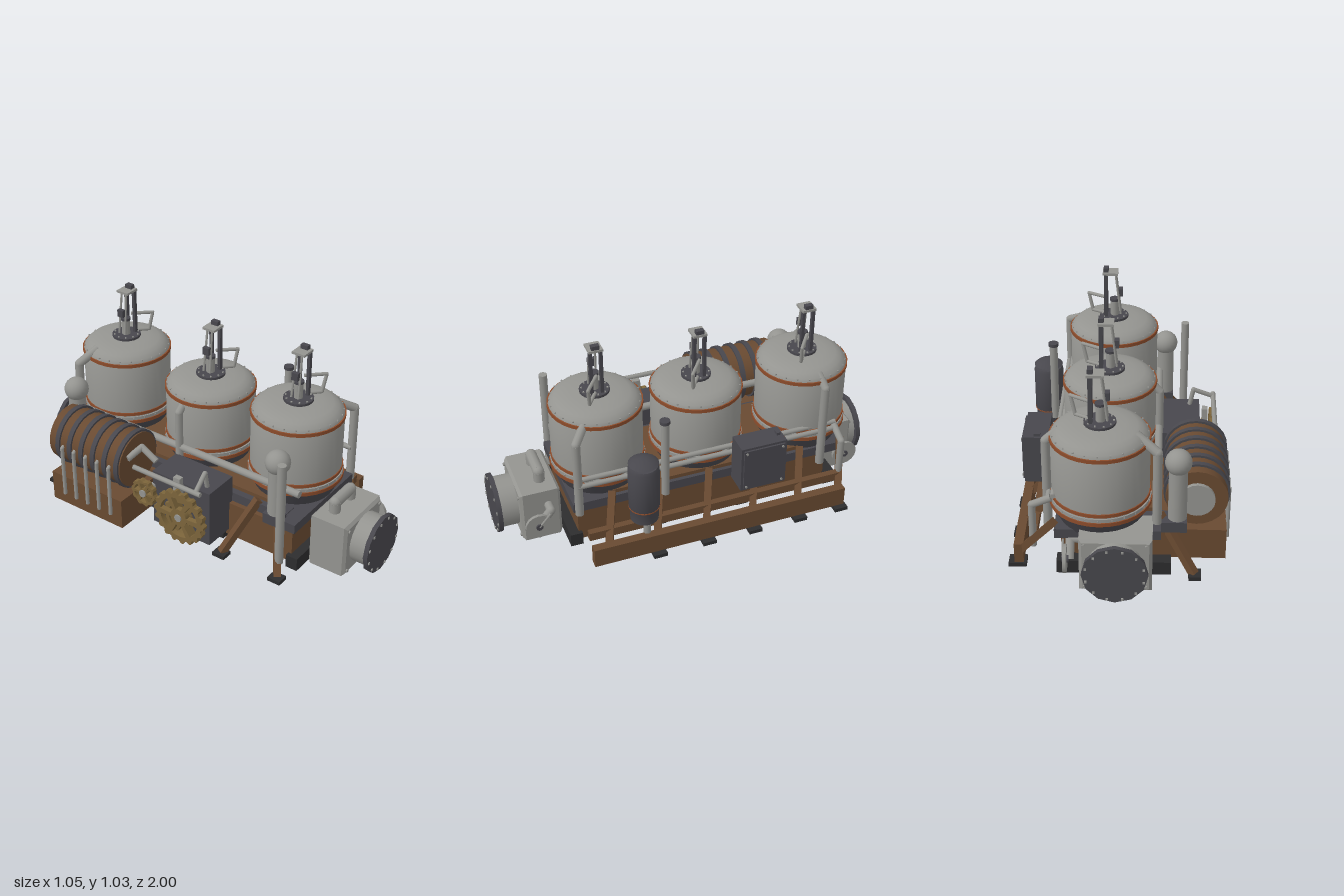
import * as THREE from 'three';
import { toCreasedNormals } from 'three/addons/utils/BufferGeometryUtils.js';

const mat = (name, color) => {
  const m = new THREE.MeshStandardMaterial({ color });
  m.name = name;
  return m;
};

export function createModel() {
  const model = new THREE.Group();
  model.name = 'processingPlant';
  const steel = mat('lightSteel', 0x949490), dark = mat('darkSteel', 0x48474d), black = mat('blackRubber', 0x2d2d2e);
  const brown = mat('brownFrame', 0x694a31), rust = mat('rustBand', 0x8c4c2b), brass = mat('brass', 0x7c653b);
  const V = (x, y, z) => new THREE.Vector3(x, y, z);
  let parent = model;

  const add = (name, geo, m) => {
    const mesh = new THREE.Mesh(geo, m);
    mesh.name = name;
    parent.add(mesh);
    return mesh;
  };
  const inGroup = (name, fn) => {
    const old = parent;
    parent = new THREE.Group();
    parent.name = name;
    old.add(parent);
    fn(parent);
    parent = old;
  };
  const box = (name, m, x0, x1, y0, y1, z0, z1) => {
    const b = add(name, new THREE.BoxGeometry(x1 - x0, y1 - y0, z1 - z0), m);
    b.position.set((x0 + x1) / 2, (y0 + y1) / 2, (z0 + z1) / 2);
    return b;
  };
  // Cylinder between two points
  const rod = (name, m, a, b, r, seg = 10) => {
    const c = add(name, new THREE.CylinderGeometry(r, r, a.distanceTo(b), seg), m);
    c.position.copy(a).add(b).multiplyScalar(0.5);
    c.quaternion.setFromUnitVectors(V(0, 1, 0), b.clone().sub(a).normalize());
    return c;
  };
  // Pipe along corner points with rounded joints
  const pipe = (name, m, pts, r) => inGroup(name, () => {
    for (let i = 1; i < pts.length; i++) {
      rod('pipeRun', m, pts[i - 1], pts[i], r);
      if (i < pts.length - 1) add('elbow', new THREE.SphereGeometry(r, 10, 8), m).position.copy(pts[i]);
    }
  });
  // Square beam between two points
  const beam = (name, m, a, b, w) => {
    const g = add(name, new THREE.BoxGeometry(w, w, a.distanceTo(b)), m);
    g.position.copy(a).add(b).multiplyScalar(0.5);
    g.lookAt(b);
  };
  const lathe = (name, m, pts, seg = 32) => add(name, toCreasedNormals(
    new THREE.LatheGeometry(pts.map(p => new THREE.Vector2(p[0], p[1])), seg), 0.6), m);
  const ring = (name, m, r, y0, y1) => rod(name, m, V(0, y0, 0), V(0, y1, 0), r, 32);
  const bolts = (n, r, y, m) => {
    for (let i = 0; i < n; i++) {
      const a = i / n * Math.PI * 2;
      add('bolt', new THREE.BoxGeometry(0.007, 0.007, 0.007), m).position.set(Math.cos(a) * r, y, Math.sin(a) * r);
    }
  };

  // Agitator drive standing on a tank lid
  const agitator = T => inGroup('agitator', g => {
    g.position.y = T;
    rod('lidFlange', dark, V(0, -0.01, 0), V(0, 0.02, 0), 0.075, 20);
    bolts(10, 0.064, 0.022, steel);
    rod('neck', steel, V(-0.003, 0, 0), V(-0.003, 0.1, 0), 0.022, 12);
    rod('neckCap', dark, V(-0.003, 0.1, 0), V(-0.003, 0.113, 0), 0.026, 12);
    for (const s of [-1, 1]) {
      box('post', dark, 0.033, 0.052, 0.02, 0.26, s * 0.026 - 0.008, s * 0.026 + 0.008);
      rod('linkRod', steel, V(-0.035, 0.03, s * 0.02), V(-0.008, 0.26, s * 0.014), 0.006, 8);
    }
    box('topPlate', steel, -0.022, 0.058, 0.255, 0.267, -0.036, 0.036);
    box('topCap', dark, 0.028, 0.054, 0.267, 0.288, -0.02, 0.02);
    box('counterweight', dark, -0.046, -0.024, 0.13, 0.17, -0.018, 0.018);
    pipe('crankHandle', steel, [V(0.045, 0.118, 0), V(0.137, 0.108, 0.07), V(0.116, 0.015, 0.06), V(0.045, 0.022, 0.01)], 0.009);
  });

  // Three tanks: x, z and lid height
  for (const [x, z, T] of [[0.065, 0.45, 0.742], [0.065, -0.075, 0.71], [0.085, -0.643, 0.742]]) inGroup('tank', g => {
    g.position.set(x, 0, z);
    lathe('lowerCone', dark, [[0, 0.25], [0.19, 0.25], [0.21, 0.29], [0.234, 0.343]]);
    ring('baseRing', rust, 0.242, 0.343, 0.362);
    ring('baseFlange', steel, 0.237, 0.362, 0.38);
    lathe('shell', steel, [[0.23, 0.38], [0.23, T - 0.05], [0.219, T - 0.032], [0.198, T - 0.014], [0.172, T - 0.003], [0.12, T + 0.005], [0, T + 0.012]]);
    ring('lowerBand', rust, 0.235, 0.387, 0.404);
    ring('upperBand', rust, 0.235, T - 0.065, T - 0.047);
    bolts(24, 0.236, 0.371, steel);
    bolts(24, 0.222, T - 0.035, steel);
    agitator(T);
  });

  // Base, deck and skids
  box('baseBody', brown, -0.225, 0.27, 0.02, 0.215, -0.72, 0.625);
  box('deckFrame', dark, -0.2, 0.295, 0.215, 0.265, -0.8, 0.65);
  box('frontCrossBeam', dark, -0.25, 0.295, 0.215, 0.265, 0.58, 0.65);
  box('deckPlate', brown, -0.165, 0.275, 0.265, 0.285, -0.64, 0.44);
  for (const [z, h] of [[0.64, 0.07], [0.2, 0.03], [-0.25, 0.03], [-0.75, 0.07]])
    box('skid', black, -0.25, 0.29, 0, h, z - 0.032, z + 0.032);

  // Outrigger frame on the left side
  inGroup('sideFrame', () => {
    box('outerBeam', brown, 0.45, 0.495, 0.02, 0.123, -0.735, 0.61);
    box('innerBeam', brown, 0.387, 0.42, 0.125, 0.17, -0.735, 0.61);
    for (const z of [0.53, 0.28, 0.02, -0.23, -0.48, -0.71]) {
      beam('strut', brown, V(0.295, 0.3, z - 0.08), V(0.468, 0.075, z), 0.036);
      if (z < 0.5) box('footPad', black, 0.437, 0.523, 0, 0.02, z - 0.035, z + 0.035);
    }
  });
  // Splayed legs on the right side
  for (const [z, zb] of [[0.63, 0.51], [0.3, 0.4], [-0.79, -0.68]]) {
    beam('leg', brown, V(-0.19, 0.28, zb), V(-0.358, 0.015, z), 0.036);
    box('legPad', black, -0.392, -0.332, 0, 0.02, z - 0.035, z + 0.035);
  }

  // Bevelled pump housing, chamfered along all edges
  const housing = (x0, x1, y0, y1, z0, z1, c) => {
    const s = new THREE.Shape([[x0 + c, y0 + c], [x1 - c, y0 + c], [x1 - c, y1 - c], [x0 + c, y1 - c]].map(p => new THREE.Vector2(...p)));
    add('housing', new THREE.ExtrudeGeometry(s, { depth: z1 - z0 - 2 * c, bevelSize: c, bevelThickness: c, bevelSegments: 1 }), steel)
      .position.z = z0 + c;
  };
  // End pumps with round bolted covers
  for (const [s, b0, b1, zd] of [[1, 0.68, 0.885, 0.815], [-1, 0.7, 0.92, 0.855]]) inGroup('endPump', () => {
    const cx = 0.007, cy = 0.155;
    housing(-0.162, 0.175, 0.006, 0.292, Math.min(s * b0, s * b1), Math.max(s * b0, s * b1), 0.014);
    rod('barrel', steel, V(cx, cy, s * b1), V(cx, cy, s * 0.975), 0.13, 20);
    rod('cover', dark, V(cx, cy, s * 0.972), V(cx, cy, s * 0.995), 0.153, 12);
    for (let i = 0; i < 12; i++) {
      const a = (i + 0.5) / 12 * Math.PI * 2;
      box('coverBolt', steel, 0, 0.011, 0, 0.011, 0, 0.01).position.set(cx + Math.cos(a) * 0.137, cy + Math.sin(a) * 0.137, s * 0.995);
    }
    for (const x of [-0.137, 0.15]) for (const y of [0.032, 0.265])
      rod('housingBolt', steel, V(x, y, s * (b1 - 0.01)), V(x, y, s * (b1 + 0.008)), 0.009, 6);
    // Side valve
    pipe('valvePipe', steel, [V(0.17, 0.205, s * (zd - 0.07)), V(0.222, 0.205, s * (zd - 0.07)), V(0.222, 0.13, s * (zd - 0.01))], 0.022);
    rod('valveDisc', steel, V(0.234, 0.14, s * zd), V(0.25, 0.14, s * zd), 0.068, 16);
    rod('valveHub', dark, V(0.225, 0.14, s * zd), V(0.258, 0.14, s * zd), 0.018, 10);
    rod('valveLever', steel, V(0.254, 0.14, s * zd), V(0.254, 0.21, s * (zd - 0.06)), 0.006, 6);
    if (s > 0) pipe('liftingHandle', steel, [V(-0.065, 0.28, 0.76), V(-0.065, 0.345, 0.76), V(0.077, 0.345, 0.76), V(0.077, 0.28, 0.76)], 0.029);
  });

  // Pipe rails and tank risers
  for (const [x, y] of [[0.3, 0.413], [0.324, 0.393]]) rod('leftRail', steel, V(x, y, 0.63), V(x, y, -0.75), 0.013);
  rod('rightRail', steel, V(-0.182, 0.4, 0.63), V(-0.182, 0.4, -0.73), 0.019);
  pipe('leftFrontRiser', steel, [V(0.315, 0.22, 0.625), V(0.315, 0.64, 0.625), V(0.24, 0.69, 0.56)], 0.022);
  pipe('leftBackRiser', steel, [V(0.335, 0.2, -0.66), V(0.335, 0.66, -0.66), V(0.27, 0.715, -0.65)], 0.022);
  pipe('rightBackRiser', steel, [V(-0.18, 0.28, -0.75), V(-0.18, 0.66, -0.75), V(-0.08, 0.725, -0.7)], 0.023);
  pipe('rightMiddleRiser', steel, [V(-0.185, 0.28, -0.09), V(-0.185, 0.6, -0.09), V(-0.11, 0.68, -0.08)], 0.02);
  pipe('backDrainPipe', steel, [V(0.31, 0.4, -0.74), V(0.4, 0.36, -0.74), V(0.4, 0.13, -0.74)], 0.018);

  // Ball-topped pressure columns and tall stack
  for (const [x, y, z] of [[-0.212, 0.56, 0.52], [-0.275, 0.575, -0.69]]) {
    rod('pressureColumn', steel, V(x, 0.265, z), V(x, y, z), 0.045, 14);
    add('pressureBall', new THREE.SphereGeometry(0.063, 20, 14), steel).position.set(x, y, z);
    box('columnBracket', dark, x - 0.045, x + 0.08, 0.215, 0.27, z - 0.05, z + 0.05);
  }
  rod('tallStack', steel, V(-0.317, 0.07, 0.61), V(-0.317, 0.635, 0.61), 0.022, 10);
  rod('thinStack', steel, V(0.369, 0.27, 0.2), V(0.369, 0.695, 0.2), 0.021, 10);
  rod('thinStackCap', dark, V(0.369, 0.695, 0.2), V(0.369, 0.712, 0.2), 0.026, 10);

  // Dark upright canister and control cabinet
  inGroup('canister', g => {
    g.position.set(0.41, 0, 0.325);
    lathe('canisterBody', dark, [[0, 0.19], [0.07, 0.19], [0.071, 0.255], [0.077, 0.27], [0.077, 0.495], [0.07, 0.51], [0, 0.51]], 20);
    rod('canisterBand', rust, V(0, 0.262, 0), V(0, 0.268, 0), 0.078, 20);
    lathe('canisterCap', dark, [[0, 0.524], [0.075, 0.524], [0.055, 0.54], [0.02, 0.55], [0, 0.551]], 20);
    rod('canisterStem', steel, V(0.037, 0.12, 0), V(0.037, 0.19, 0), 0.019);
    rod('capStem', dark, V(0, 0.505, 0), V(0, 0.53, 0), 0.02);
  });
  box('cabinet', dark, 0.35, 0.47, 0.255, 0.508, -0.398, -0.158);
  box('cabinetDoor', dark, 0.47, 0.479, 0.267, 0.496, -0.386, -0.17);
  box('cabinetKnob', dark, 0.39, 0.42, 0.508, 0.522, -0.385, -0.365);
  for (const y of [0.28, 0.483]) for (const z of [-0.373, -0.183])
    rod('cabinetBolt', steel, V(0.475, y, z), V(0.484, y, z), 0.007, 6);

  // Horizontal banded drum on a brown cradle
  inGroup('drum', () => {
    const x = -0.365, y = 0.37;
    rod('drumBody', brown, V(x, y, -0.68), V(x, y, -0.215), 0.146, 24);
    for (let i = 0; i < 6; i++) {
      const z = -0.62 + i * 0.077;
      rod('drumBand', dark, V(x, y, z - 0.013), V(x, y, z + 0.013), 0.157, 24);
      if (i < 5) pipe('drumDrain', steel, [V(-0.47, 0.4, z + 0.03), V(-0.518, 0.37, z + 0.03), V(-0.518, 0.09, z + 0.03)], 0.01);
    }
    rod('drumHub', steel, V(x, y, -0.7), V(x, y, -0.67), 0.085, 20);
    pipe('drumOutlet', steel, [V(-0.45, 0.42, -0.21), V(-0.36, 0.45, -0.19), V(-0.36, 0.4, -0.1)], 0.017);
    box('cradle', brown, -0.51, -0.2, 0.025, 0.19, -0.68, -0.215);
    box('cradlePad', black, -0.4, -0.33, 0, 0.025, -0.48, -0.42);
  });

  // Gearbox with open brass gears
  box('gearbox', dark, -0.393, -0.2, 0.055, 0.362, -0.1, 0.25);
  const gear = (x, y, z, r, n) => inGroup('gear', () => {
    const shape = new THREE.Shape();
    for (let i = 0; i < n * 4; i++) {
      const a = i / (n * 4) * Math.PI * 2, q = i % 4 < 2 ? r : r * 0.9;
      shape[i ? 'lineTo' : 'moveTo'](Math.cos(a) * q, Math.sin(a) * q);
    }
    // Wide openings leave six spokes
    for (let i = 0; i < 6; i++) {
      const a = i / 6 * Math.PI * 2, hole = new THREE.Path();
      hole.absarc(0, 0, r * 0.74, a + 0.13, a + 0.92, false);
      hole.absarc(0, 0, r * 0.32, a + 0.85, a + 0.2, true);
      hole.closePath();
      shape.holes.push(hole);
    }
    const g = add('gearWheel', new THREE.ExtrudeGeometry(shape, { depth: 0.028, bevelEnabled: false, curveSegments: 6 }), brass);
    g.rotation.y = Math.PI / 2;
    g.position.set(x, y, z);
    rod('gearShaft', steel, V(-0.39, y, z), V(x - 0.008, y, z), 0.02, 10);
  });
  gear(-0.473, 0.215, 0.12, 0.152, 18);
  gear(-0.432, 0.18, 0.12, 0.125, 16);
  gear(-0.473, 0.27, -0.1, 0.075, 10);
  box('gearBracket', steel, -0.432, -0.403, 0.3, 0.41, 0.06, 0.1);
  rod('gearRod', steel, V(-0.465, 0.4, 0.25), V(-0.465, 0.4, -0.16), 0.013, 8);
  pipe('gearLink', steel, [V(-0.465, 0.4, 0.22), V(-0.36, 0.45, 0.2), V(-0.34, 0.35, 0.2)], 0.012);
  return model;
}
